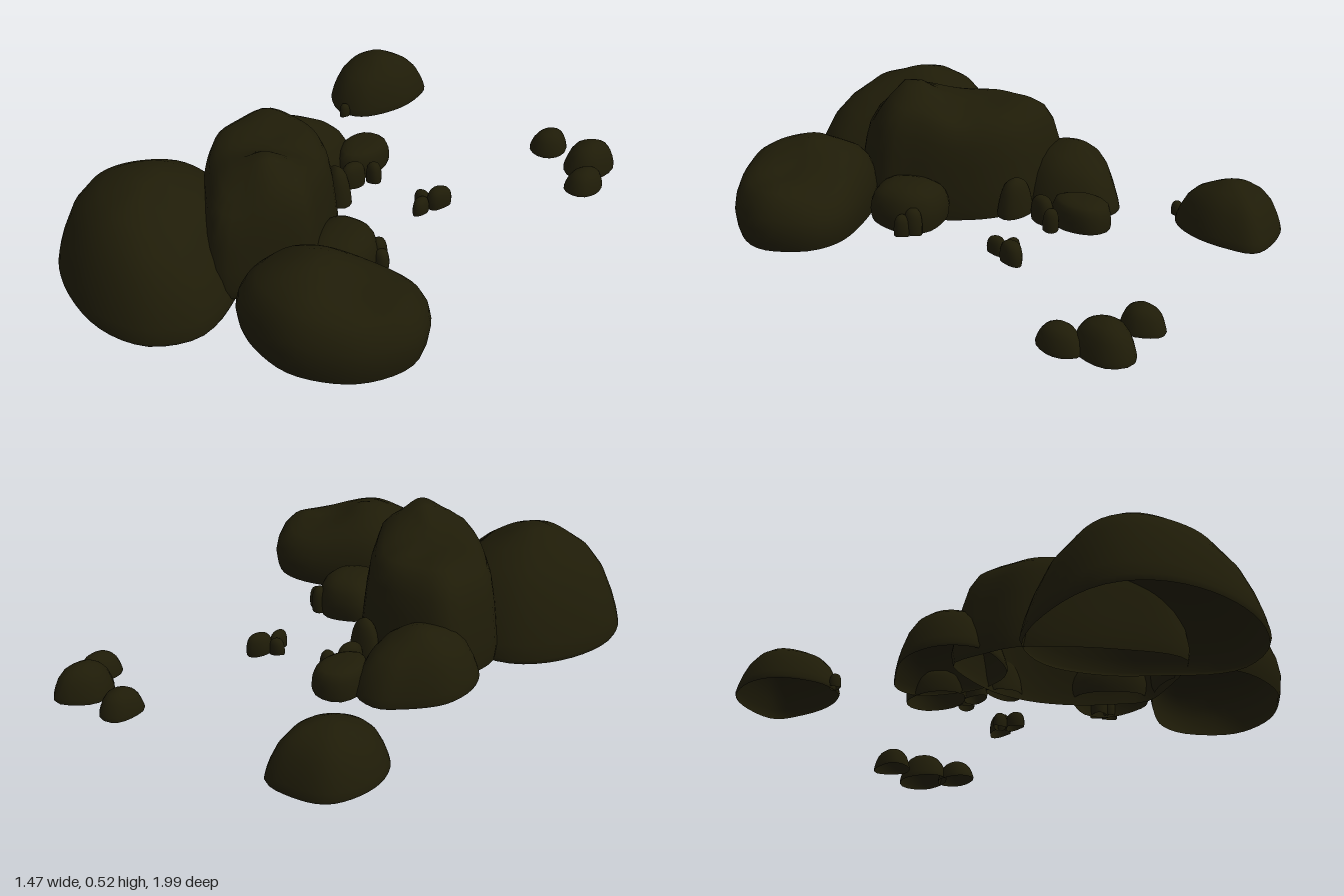
import * as THREE from 'three';

const stone = new THREE.MeshStandardMaterial({ color: 0x1f1c08, side: THREE.DoubleSide });
stone.name = 'darkOliveStone';

// Profiles from rim to crown: [share of outline, share of height]
const DOME = [[0.98, 0], [1, 0.05], [0.97, 0.18], [0.91, 0.36], [0.8, 0.6], [0.64, 0.79], [0.45, 0.9], [0.22, 0.97], [0, 1]];
const SOFT = [[0.95, 0], [0.98, 0.12], [1, 0.32], [0.97, 0.5], [0.9, 0.68], [0.79, 0.82], [0.62, 0.92], [0.42, 0.98], [0.2, 1], [0, 1]];
const BLOCK = [[0.97, 0], [1, 0.15], [0.99, 0.4], [0.96, 0.62], [0.89, 0.8], [0.78, 0.89], [0.62, 0.96], [0.42, 0.99], [0.2, 1], [0, 1]];
const CRAG = [[0.98, 0], [1, 0.12], [0.97, 0.32], [0.93, 0.55], [0.88, 0.74], [0.8, 0.88], [0.68, 0.96], [0.5, 1], [0.32, 1], [0.15, 1], [0, 1]];

// Height of the crown at a spot, blended from [x, z, y] humps
function crown(humps, x, z) {
  let sum = 0, weight = 0;
  for (const [hx, hz, hy] of humps) {
    const w = 1 / ((x - hx) ** 2 + (z - hz) ** 2 + 0.003);
    sum += w * hy;
    weight += w;
  }
  return sum / weight;
}

// Hollow boulder, open underneath: shrinking copies of a ground outline
function boulder(name, outline, base, humps, profile, segments = 40, wave = 0.006) {
  const n = outline.length;
  const cx = outline.reduce((s, p) => s + p[0], 0) / n;
  const cz = outline.reduce((s, p) => s + p[1], 0) / n;
  const angle = (p) => Math.atan2(p[1] - cz, p[0] - cx);
  const sorted = [...outline].sort((a, b) => angle(a) - angle(b));
  const curve = new THREE.CatmullRomCurve3(sorted.map(([x, z]) => new THREE.Vector3(x, 0, z)), true);
  const rim = curve.getSpacedPoints(segments).slice(0, segments);

  const positions = [], index = [];
  profile.forEach(([s, h], j) => {
    rim.forEach((p, i) => {
      const x = cx + (p.x - cx) * s, z = cz + (p.z - cz) * s;
      const a = (i / segments) * Math.PI * 2;
      const foot = base + wave * Math.sin(a * 2 + cx * 9) * (1 - h);
      positions.push(x, foot + (crown(humps, x, z) - foot) * h, z);
      if (j < profile.length - 1) {
        const k = j * segments, next = (i + 1) % segments;
        index.push(k + i, k + segments + i, k + next);
        if (j < profile.length - 2) index.push(k + next, k + segments + i, k + segments + next);
      }
    });
  });
  // One shared crown vertex
  const tip = (profile.length - 1) * segments;
  const geometry = new THREE.BufferGeometry();
  geometry.setAttribute('position', new THREE.Float32BufferAttribute(positions.slice(0, (tip + 1) * 3), 3));
  geometry.setIndex(index.map((v) => Math.min(v, tip)));
  geometry.computeVertexNormals();
  const mesh = new THREE.Mesh(geometry, stone);
  mesh.name = name;
  return mesh;
}

// Small oval stone
function pebble(name, x, z, rx, rz, top, turn, profile) {
  const outline = [];
  for (let i = 0; i < 8; i++) {
    const a = (i / 8) * Math.PI * 2, r = 1 + 0.05 * Math.sin(i * 2.4 + x * 20);
    const u = Math.cos(a) * rx * r, v = Math.sin(a) * rz * r;
    outline.push([x + u * Math.cos(turn) - v * Math.sin(turn), z + u * Math.sin(turn) + v * Math.cos(turn)]);
  }
  return boulder(name, outline, 0.062, [[x, z, top]], profile, 18, 0.003);
}

export function createModel() {
  const group = new THREE.Group();
  group.name = 'boulderCluster';

  // Large boulders
  group.add(boulder('frontBoulder', [
    [-0.48, 0.24], [-0.6, 0.33], [-0.7, 0.49], [-0.735, 0.63], [-0.715, 0.735], [-0.63, 0.85], [-0.47, 0.95],
    [-0.3, 0.995], [-0.16, 0.985], [-0.05, 0.935], [0.04, 0.81], [0.045, 0.71], [0, 0.56], [-0.09, 0.36], [-0.27, 0.23],
  ], 0.016, [[-0.4, 0.6, 0.435], [-0.54, 0.58, 0.43], [-0.2, 0.65, 0.36], [-0.08, 0.68, 0.29],
    [-0.35, 0.78, 0.41], [-0.3, 0.93, 0.36]], DOME, 48, 0.014));

  group.add(boulder('centralBoulder', [
    [-0.43, -0.07], [-0.31, -0.1], [-0.13, -0.08], [-0.01, 0], [0.085, 0.13], [0.15, 0.265], [0.195, 0.375],
    [0.14, 0.48], [0.03, 0.61], [-0.03, 0.645], [-0.1, 0.62], [-0.22, 0.52], [-0.36, 0.38], [-0.465, 0.21], [-0.465, 0.08],
  ], 0.04, [[-0.02, 0.38, 0.56], [-0.3, 0, 0.45], [-0.2, -0.05, 0.44], [-0.18, 0.12, 0.41], [-0.28, 0.28, 0.42],
    [0.12, 0.34, 0.45], [0, 0.55, 0.38], [-0.02, 0.12, 0.39]], CRAG, 48, 0.01));

  group.add(boulder('leftBoulder', [
    [0.095, 0.49], [0.17, 0.4], [0.3, 0.33], [0.52, 0.265], [0.64, 0.3], [0.725, 0.42], [0.735, 0.51],
    [0.68, 0.635], [0.59, 0.725], [0.41, 0.8], [0.18, 0.75], [0.095, 0.65],
  ], 0.065, [[0.34, 0.56, 0.38], [0.15, 0.57, 0.32], [0.67, 0.46, 0.325], [0.54, 0.5, 0.265], [0.52, 0.36, 0.27],
    [0.38, 0.7, 0.35]], SOFT, 44));

  group.add(boulder('rightBoulder', [
    [-0.4, -0.33], [-0.33, -0.375], [-0.23, -0.355], [-0.17, -0.25], [-0.16, -0.1], [-0.25, 0.05],
    [-0.44, 0.08], [-0.51, 0.02], [-0.545, -0.08], [-0.52, -0.21],
  ], 0.06, [[-0.36, -0.12, 0.285], [-0.32, -0.3, 0.24]], DOME));

  group.add(boulder('rearBoulder', [
    [-0.44, -0.97], [-0.31, -0.955], [-0.275, -0.85], [-0.28, -0.75], [-0.325, -0.65], [-0.39, -0.585],
    [-0.49, -0.575], [-0.575, -0.64], [-0.62, -0.74], [-0.61, -0.85], [-0.55, -0.94],
  ], 0.066, [[-0.45, -0.81, 0.263], [-0.46, -0.65, 0.23]], DOME));

  group.add(boulder('innerBoulder', [
    [0.08, 0.12], [0.14, 0.09], [0.24, 0.09], [0.31, 0.16], [0.32, 0.265], [0.29, 0.33], [0.15, 0.37], [0.07, 0.25],
  ], 0.06, [[0.2, 0.21, 0.215]], SOFT, 28));

  // Scattered smaller stones: x, z, half width, half depth, top, turn, profile
  [
    [-0.15, -0.325, 0.088, 0.122, 0.17, 0, BLOCK],
    [-0.075, -0.075, 0.075, 0.05, 0.21, 0.4, DOME],
    [-0.09, -0.19, 0.035, 0.055, 0.16, 0.3, SOFT],
    [-0.042, -0.262, 0.032, 0.03, 0.145, 0, SOFT],
    [0.285, 0.125, 0.035, 0.035, 0.16, 0, SOFT],
    [0.32, 0.15, 0.03, 0.03, 0.14, 0, SOFT],
    [0.25, -0.295, 0.036, 0.052, 0.14, 0.4, SOFT],
    [0.195, -0.26, 0.032, 0.025, 0.12, 0, SOFT],
    [0.225, -0.212, 0.026, 0.04, 0.125, 0, SOFT],
    [-0.44, -0.565, 0.022, 0.022, 0.115, 0, SOFT],
    [0.365, -0.9, 0.068, 0.083, 0.15, 0.2, DOME],
    [0.56, -0.883, 0.088, 0.115, 0.18, 0.2, DOME],
    [0.618, -0.752, 0.064, 0.088, 0.145, 0.2, DOME],
  ].forEach((p, i) => group.add(pebble(`smallStone${i + 1}`, ...p)));

  return group;
}
